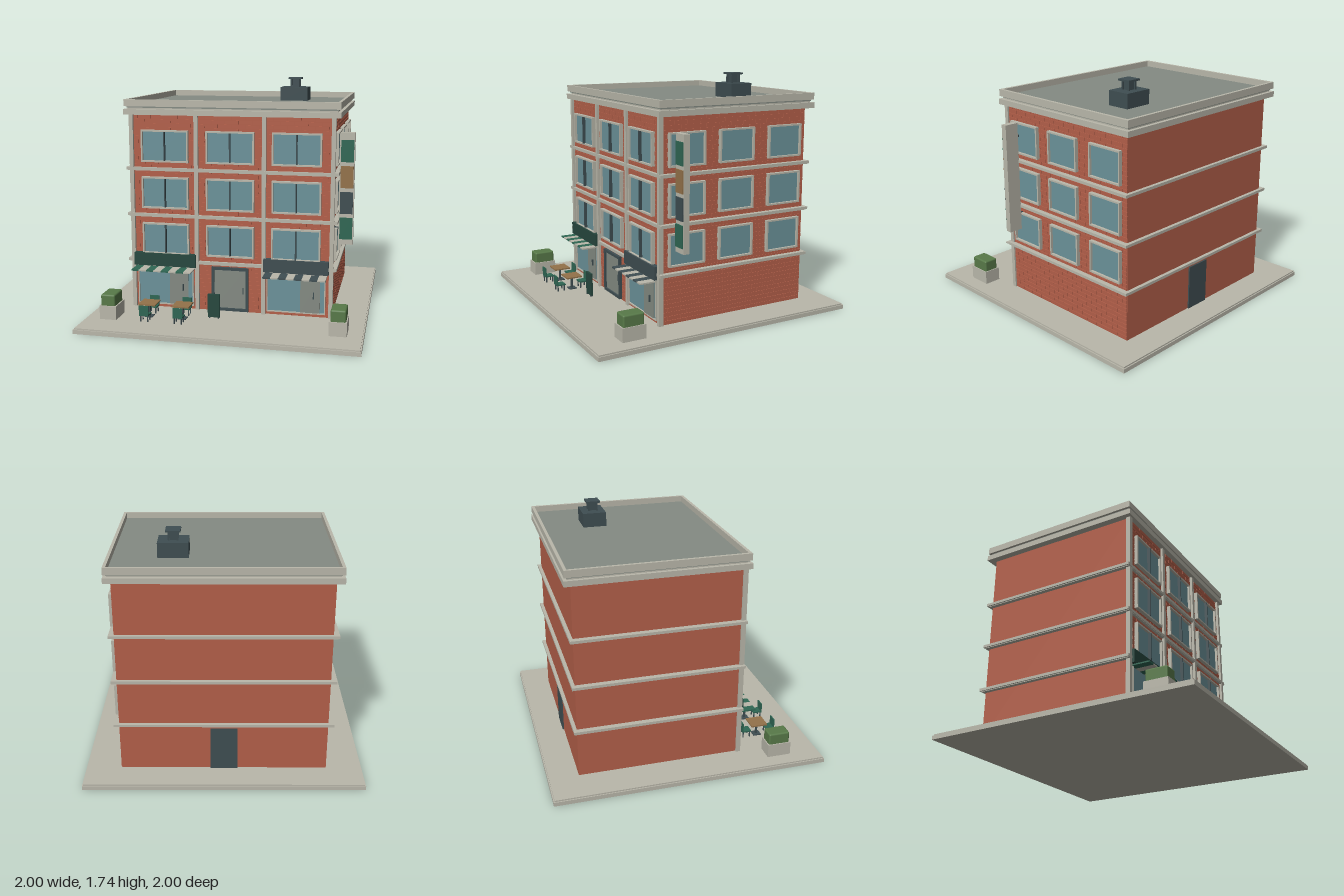
import * as THREE from 'three';
import { mergeGeometries } from 'three/addons/utils/BufferGeometryUtils.js';
import { RoundedBoxGeometry } from 'three/addons/geometries/RoundedBoxGeometry.js';

const mat = (name, color) => {
  const m = new THREE.MeshStandardMaterial({ color });
  m.name = name;
  return m;
};

export function createModel() {
  const stone = mat('stone', 0xbab8ab), brick = mat('brick', 0xb4604a), glass = mat('glass', 0x6c939b);
  const grey = mat('roofGrey', 0x848b83), slate = mat('slate', 0x3f4e52), darkGreen = mat('darkGreen', 0x27483f);
  const green = mat('green', 0x2f6754), wood = mat('wood', 0x94724a), leaf = mat('leaf', 0x587a49);

  const model = new THREE.Group();
  model.name = 'cornerBuilding';

  // Box given by its limits on each axis
  const boxGeo = (x0, x1, y0, y1, z0, z1) =>
    new THREE.BoxGeometry(x1 - x0, y1 - y0, z1 - z0).translate((x0 + x1) / 2, (y0 + y1) / 2, (z0 + z1) / 2);
  const add = (parent, name, material, geo) => {
    const m = new THREE.Mesh(geo, material);
    m.name = name;
    parent.add(m);
    return m;
  };
  const box = (name, material, ...limits) => add(model, name, material, boxGeo(...limits));
  const group = (name, x = 0, y = 0, z = 0, parent = model) => {
    const g = new THREE.Group();
    g.name = name;
    g.position.set(x, y, z);
    parent.add(g);
    return g;
  };
  // Rectangular frame in the xy plane, centred, front at +z
  const frameGeo = (w, h, t, d) => mergeGeometries([
    boxGeo(-w / 2, w / 2, h / 2 - t, h / 2, 0, d),
    boxGeo(-w / 2, w / 2, -h / 2, -h / 2 + t, 0, d),
    boxGeo(-w / 2, -w / 2 + t, -h / 2 + t, h / 2 - t, 0, d),
    boxGeo(w / 2 - t, w / 2, -h / 2 + t, h / 2 - t, 0, d),
  ]);

  const X = 0.74, FRONT = 0.41, BACK = -0.78, BASE = 0.04, TOP = 1.49;

  // Pavement
  box('pavementSlab', stone, -1, 1, 0, 0.03, -1, 1);
  box('pavementTop', stone, -0.992, 0.992, 0.03, BASE, -0.992, 0.992);

  // Walls
  box('walls', brick, -X, X, BASE, TOP, BACK, FRONT);

  // Raised staggered bricks on the front and right walls
  const brickWall = (a0, a1) => {
    const parts = [], rows = 48, h = (TOP - BASE) / rows, len = 0.1;
    for (let r = 0; r < rows; r++) {
      const y = BASE + r * h;
      for (let a = a0 - (r % 2) * len / 2; a < a1 - 0.01; a += len)
        parts.push(boxGeo(Math.max(a, a0) + 0.002, Math.min(a + len, a1) - 0.002, y + 0.002, y + h - 0.002, 0, 0.004));
    }
    return mergeGeometries(parts);
  };
  add(model, 'frontBricks', brick, brickWall(-X, X)).position.z = FRONT;
  const sideBricks = add(model, 'sideBricks', brick, brickWall(-FRONT, -BACK));
  sideBricks.rotation.y = Math.PI / 2;
  sideBricks.position.x = X;

  // Front pilasters and floor bands
  for (const x of [-0.74, -0.252, 0.248, 0.74])
    box('pilaster', stone, x - 0.015, x + 0.015, BASE, TOP, 0.4, 0.433);
  for (const y of [0.39, 0.735, 1.08]) {
    box('floorBand', stone, -0.77, 0.77, y, y + 0.025, -0.797, 0.43);
    box('floorBandLip', stone, -0.78, 0.78, y + 0.005, y + 0.025, -0.805, 0.435);
  }

  // Cornice, roof and hollow parapet
  box('cornice', stone, -0.79, 0.79, TOP, 1.53, -0.83, 0.45);
  box('corniceNeck', stone, -0.765, 0.765, 1.53, 1.55, -0.805, 0.42);
  box('roof', grey, -0.77, 0.77, 1.54, 1.555, -0.81, 0.43);
  const rim = add(model, 'parapet', stone, frameGeo(1.575, 1.27, 0.022, 0.05));
  rim.rotation.x = -Math.PI / 2;
  rim.position.set(0, 1.55, -0.19);

  // Rooftop vent
  box('ventBase', slate, 0.24, 0.455, 1.555, 1.66, -0.505, -0.33);
  box('ventNeck', slate, 0.325, 0.37, 1.66, 1.725, -0.44, -0.39);
  for (const x of [0.317, 0.378]) for (const z of [-0.445, -0.385])
    box('ventPost', slate, x - 0.006, x + 0.006, 1.66, 1.725, z - 0.006, z + 0.006);
  box('ventCap', slate, 0.295, 0.4, 1.722, 1.735, -0.467, -0.363);

  // Upper windows
  const windowUnit = (w, h, mullion) => {
    const g = group('window');
    add(g, 'windowFrame', stone, frameGeo(w, h, 0.012, 0.03));
    add(g, 'windowGlass', glass, boxGeo(-w / 2 + 0.012, w / 2 - 0.012, -h / 2 + 0.012, h / 2 - 0.012, 0, 0.012));
    if (mullion) add(g, 'mullion', slate, boxGeo(-0.004, 0.004, -h / 2 + 0.012, h / 2 - 0.012, 0.01, 0.035));
    return g;
  };
  for (const y of [0.573, 0.918, 1.263]) {
    for (const x of [-0.487, 0, 0.483]) windowUnit(0.355, 0.235, true).position.set(x, y, FRONT);
    for (const z of [0.217, -0.183, -0.592]) {
      const w = windowUnit(0.285, 0.235, false);
      w.rotation.y = Math.PI / 2;
      w.position.set(X, y, z);
    }
  }

  // Two shop fronts with sign board and striped awning
  const shop = (cx, boardMat, stripeMat, doorX, handleX) => {
    const g = group('shopFront', cx, 0, FRONT);
    add(g, 'shopFrame', stone, frameGeo(0.43, 0.3, 0.008, 0.02)).position.y = 0.215;
    add(g, 'shopGlass', glass, boxGeo(-0.207, 0.207, 0.073, 0.357, 0, 0.01));
    add(g, 'shopDoor', grey, boxGeo(doorX, doorX + 0.143, 0.073, 0.35, 0, 0.018));
    add(g, 'doorHandle', slate, boxGeo(handleX - 0.004, handleX + 0.004, 0.18, 0.23, 0.018, 0.03));
    add(g, 'signBoard', boardMat, boxGeo(-0.236, 0.236, 0.367, 0.463, 0, 0.042));
    for (let i = 0; i < 8; i++) {
      const x = -0.225 + i * 0.0563;
      add(g, 'awningStripe', i % 2 ? stone : stripeMat, boxGeo(x, x + 0.0563, -0.005, 0.005, 0, 0.145))
        .position.y = 0.354;
    }
  };
  shop(-0.494, darkGreen, green, 0.03, 0.134);
  shop(0.487, slate, slate, 0.033, 0.13);

  // Main entrance and back door
  add(model, 'entranceFrame', slate, frameGeo(0.275, 0.33, 0.02, 0.025)).position.set(-0.002, 0.213, FRONT);
  box('entranceDoor', grey, -0.122, 0.118, 0.058, 0.37, FRONT, 0.422);
  box('entranceHandle', slate, 0.095, 0.1, 0.18, 0.23, 0.422, 0.432);
  box('backDoor', slate, -0.097, 0.097, BASE, 0.37, -0.79, BACK);

  // Projecting sign on the right corner
  box('bladeSign', stone, 0.775, 0.88, 0.57, 1.38, 0.27, 0.315);
  for (const y of [0.68, 1.27]) box('signBracket', slate, X, 0.78, y, y + 0.015, 0.285, 0.3);
  [green, slate, wood, green].forEach((m, i) => {
    const y = 0.61 + i * 0.187;
    box('signPanel', m, 0.783, 0.874, y, y + 0.158, 0.315, 0.324);
  });

  // Planters with hedges
  for (const s of [-1, 1]) {
    box('planter', stone, s * 0.825 - 0.062, s * 0.825 + 0.062, BASE, 0.14, 0.6, 0.775);
    add(model, 'hedge', leaf, new RoundedBoxGeometry(0.107, 0.1, 0.158, 2, 0.012)).position.set(s * 0.826, 0.172, 0.687);
  }

  // Cafe tables, each with two chairs
  const chair = (parent, z, turn) => {
    const c = group('chair', 0, 0, z, parent);
    c.rotation.y = turn;
    add(c, 'seat', green, boxGeo(-0.035, 0.035, 0.085, 0.095, -0.035, 0.035));
    add(c, 'backrest', green, boxGeo(-0.035, 0.035, 0.095, 0.16, 0.027, 0.035));
    for (const x of [-0.026, 0.026]) for (const lz of [-0.026, 0.026])
      add(c, 'chairLeg', slate, boxGeo(x - 0.004, x + 0.004, BASE, 0.085, lz - 0.004, lz + 0.004));
  };
  for (const x of [-0.555, -0.305]) {
    const set = group('cafeSet', x, 0, 0.64);
    add(set, 'tableTop', wood, boxGeo(-0.063, 0.063, 0.138, 0.148, -0.063, 0.063));
    add(set, 'tableLeg', slate, boxGeo(-0.007, 0.007, BASE, 0.138, -0.007, 0.007));
    add(set, 'tableFoot', slate, boxGeo(-0.03, 0.03, BASE, 0.047, -0.03, 0.03));
    chair(set, 0.1, 0);
    chair(set, -0.09, Math.PI);
  }

  // Pavement menu board
  box('menuBoard', darkGreen, -0.13, -0.042, 0.048, 0.22, 0.575, 0.592);
  for (const x of [-0.122, -0.056]) box('menuBoardFoot', slate, x, x + 0.008, BASE, 0.05, 0.573, 0.594);

  return model;
}
